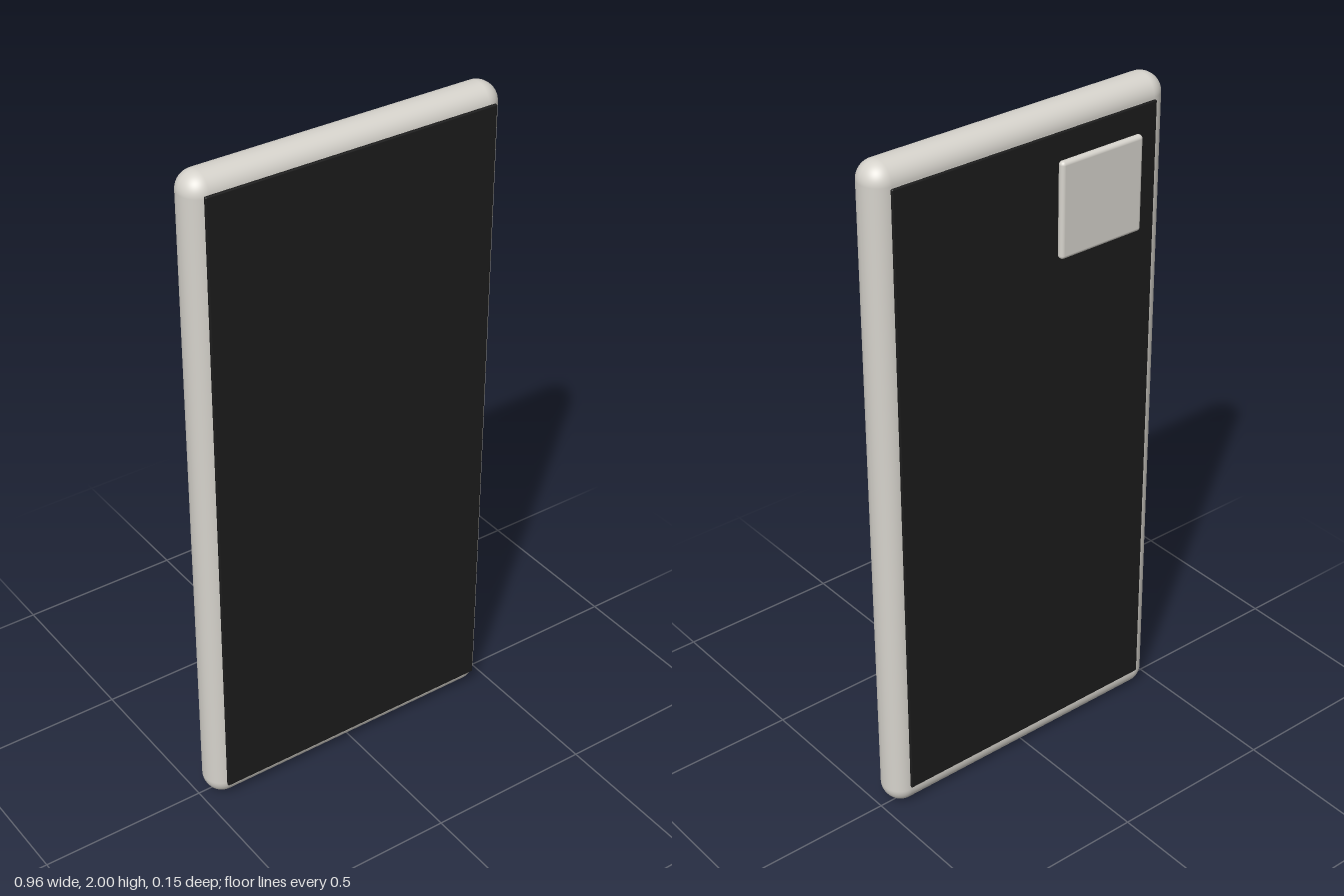
import * as THREE from 'three';
import { RoundedBoxGeometry } from 'three/addons/geometries/RoundedBoxGeometry.js';

export function createModel() {
  const phone = new THREE.Group();
  phone.name = 'phone';

  const shell = new THREE.MeshStandardMaterial({ color: 0xd6d3cc });
  shell.name = 'warm light grey';
  const glass = new THREE.MeshStandardMaterial({ color: 0x1c1c1c });
  glass.name = 'black glass';

  // Rounded slab given by its extents along each axis
  function slab(name, [x0, x1], [y0, y1], [z0, z1], radius, segments, material) {
    const geometry = new RoundedBoxGeometry(x1 - x0, y1 - y0, z1 - z0, segments, radius);
    const mesh = new THREE.Mesh(geometry, material);
    mesh.position.set((x0 + x1) / 2, (y0 + y1) / 2, (z0 + z1) / 2);
    mesh.name = name;
    phone.add(mesh);
  }

  // Body with fully rounded edges
  slab('body', [-0.48, 0.48], [0, 2], [-0.05, 0.063], 0.055, 8, shell);

  // Thin glass plates on both faces
  slab('screen', [-0.443, 0.443], [0.052, 1.955], [0.063, 0.073], 0.004, 3, glass);
  slab('backPanel', [-0.43, 0.43], [0.065, 1.94], [-0.057, -0.048], 0.004, 3, glass);

  // Raised camera block in the upper corner of the back
  slab('cameraBlock', [-0.369, -0.091], [1.587, 1.865], [-0.077, -0.054], 0.011, 5, shell);

  return phone;
}
